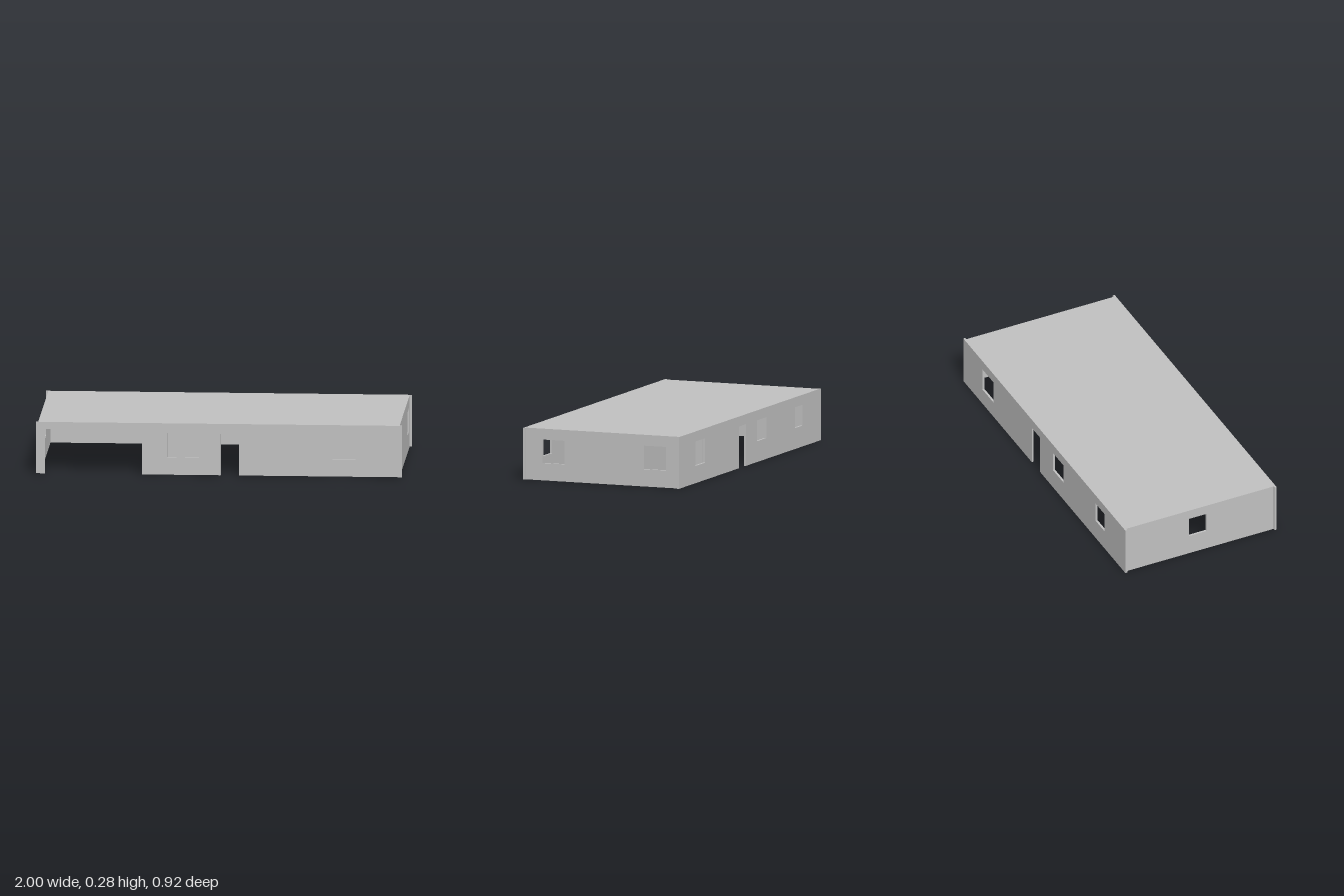
import * as THREE from 'three';

const HEIGHT = 0.285, ROOF = 0.005, T = 0.012;
const HALF_DEPTH = 0.46, INNER = HALF_DEPTH - T, SIDE = 0.987;

// Wall outline from a to b; openings are [from, to, sill, head], a sill of 0 makes a doorway
function wallShape(a, b, height, openings) {
  const s = new THREE.Shape();
  s.moveTo(a, 0);
  const doors = openings.filter((o) => o[2] === 0).sort((p, q) => p[0] - q[0]);
  for (const [u0, u1, , head] of doors) {
    s.lineTo(u0, 0);
    s.lineTo(u0, head);
    s.lineTo(u1, head);
    s.lineTo(u1, 0);
  }
  s.lineTo(b, 0);
  s.lineTo(b, height);
  s.lineTo(a, height);
  s.closePath();
  for (const [u0, u1, sill, head] of openings.filter((o) => o[2] > 0)) {
    const h = new THREE.Path();
    h.moveTo(u0, sill);
    h.lineTo(u0, head);
    h.lineTo(u1, head);
    h.lineTo(u1, sill);
    h.closePath();
    s.holes.push(h);
  }
  return s;
}

export function createModel() {
  const house = new THREE.Group();
  house.name = 'house';
  const plaster = new THREE.MeshStandardMaterial({ color: 0xc0c0c0 });
  plaster.name = 'grey plaster';

  function addWall(name, axis, at, a, b, openings = [], height = HEIGHT - ROOF) {
    const geo = new THREE.ExtrudeGeometry(wallShape(a, b, height, openings), { depth: T, bevelEnabled: false });
    geo.translate(0, 0, -T / 2);
    if (axis === 'z') geo.rotateY(-Math.PI / 2);
    const mesh = new THREE.Mesh(geo, plaster);
    mesh.name = name;
    if (axis === 'x') mesh.position.z = at;
    else mesh.position.x = at;
    house.add(mesh);
  }

  // Outer walls
  addWall('frontWall', 'x', HALF_DEPTH - T / 2, -1, 1, [
    [-0.95, -0.42, 0, 0.245],
    [-0.28, -0.11, 0.095, 0.23],
    [0.01, 0.11, 0, 0.23],
    [0.62, 0.76, 0.095, 0.23],
  ], HEIGHT);
  addWall('backWall', 'x', -HALF_DEPTH + T / 2, -1, 1, [
    [-0.745, -0.635, 0.115, 0.23],
    [-0.235, -0.105, 0.115, 0.23],
    [0.055, 0.155, 0, 0.23],
    [0.63, 0.765, 0.095, 0.23],
  ], HEIGHT);
  addWall('leftWall', 'z', SIDE - T / 2, -INNER, INNER, [
    [0.222, 0.35, 0.095, 0.225],
    [-0.378, -0.25, 0.095, 0.225],
  ]);
  addWall('rightWall', 'z', -SIDE + T / 2, -INNER, INNER, [[-0.065, 0.04, 0.115, 0.23]]);

  // Garage and living room partitions
  addWall('garagePartition', 'z', -0.36, -INNER, INNER, [[-0.31, -0.21, 0, 0.23]]);
  addWall('livingRoomPartition', 'x', 0, -0.354, -0.07);

  // Bedroom partitions
  addWall('bedroomPartition', 'z', 0.4, -INNER, INNER, [
    [-0.36, -0.27, 0, 0.23],
    [-0.08, 0.01, 0, 0.23],
    [0.2, 0.3, 0, 0.23],
  ]);
  addWall('backBedroomWall', 'x', -0.17, 0.406, SIDE - T);
  addWall('frontBedroomWall', 'x', 0.12, 0.406, SIDE - T);
  addWall('bathroomPartition', 'z', 0.68, -0.164, 0.114);

  // Short hallway walls
  addWall('frontHallWall', 'z', 0.28, 0.245, INNER);
  addWall('backHallWall', 'z', 0.28, -0.3, -0.12);

  // Flat roof set between the front and back walls
  const roof = new THREE.Mesh(new THREE.BoxGeometry(SIDE * 2, ROOF, INNER * 2), plaster);
  roof.name = 'roof';
  roof.position.y = HEIGHT - ROOF / 2;
  house.add(roof);

  return house;
}
